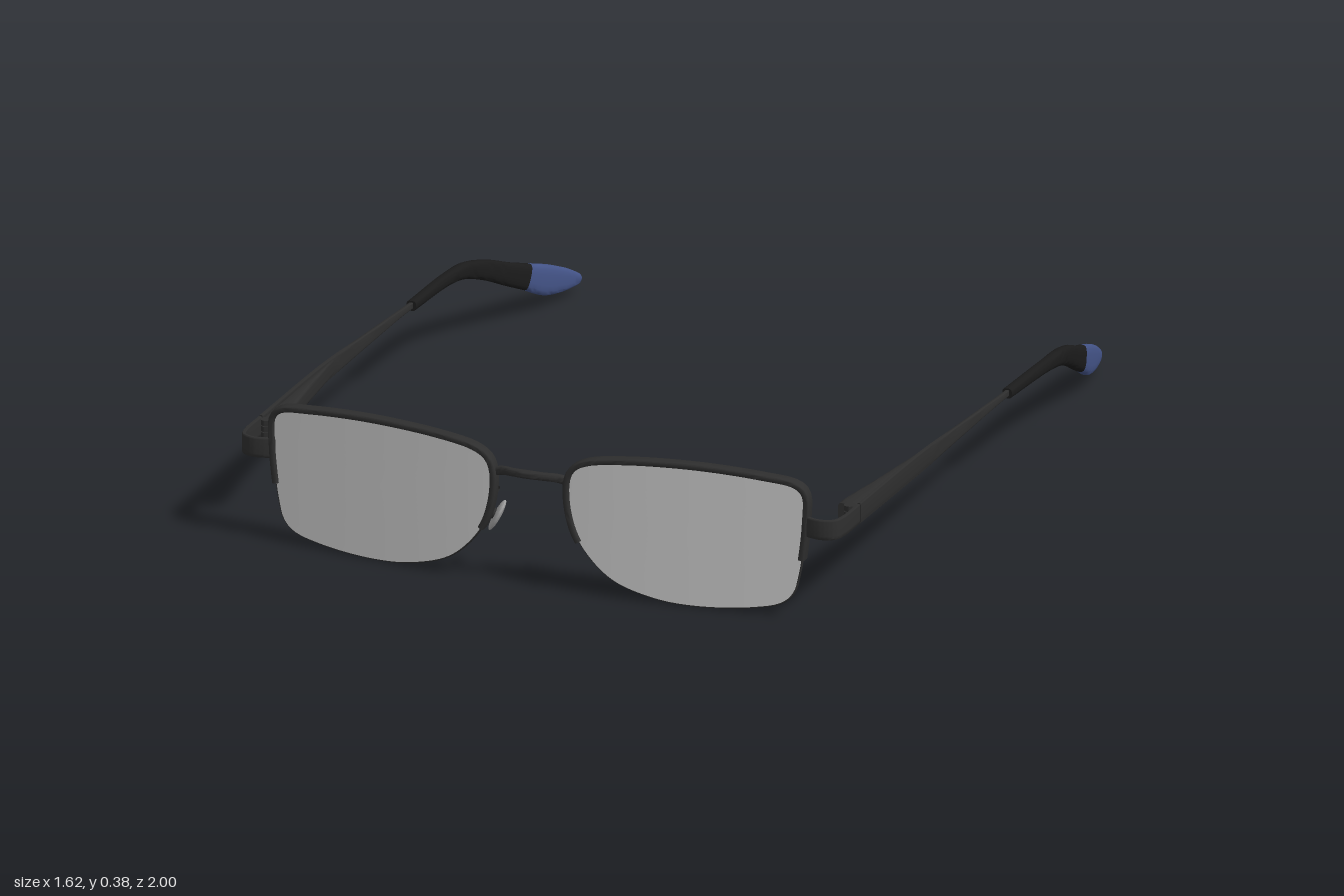
import * as THREE from 'three';
import { toCreasedNormals } from 'three/addons/utils/BufferGeometryUtils.js';

const V = (x, y, z) => new THREE.Vector3(x, y, z);
const material = (name, color) => {
  const m = new THREE.MeshStandardMaterial({ color });
  m.name = name;
  return m;
};

// Makes every triangle face outward, then smooths all but the sharp edges.
function finish(geometry, crease = 0.7) {
  const g = geometry.index ? geometry.toNonIndexed() : geometry;
  const p = g.attributes.position;
  const a = V(), b = V(), c = V();
  let volume = 0;
  for (let i = 0; i < p.count; i += 3) {
    a.fromBufferAttribute(p, i);
    b.fromBufferAttribute(p, i + 1);
    c.fromBufferAttribute(p, i + 2);
    volume += a.dot(b.cross(c));
  }
  if (volume < 0) {
    for (let i = 0; i < p.count; i += 3) {
      a.fromBufferAttribute(p, i);
      c.fromBufferAttribute(p, i + 2);
      p.setXYZ(i, c.x, c.y, c.z);
      p.setXYZ(i + 2, a.x, a.y, a.z);
    }
  }
  return toCreasedNormals(g, crease);
}

// Closed solid through a list of equal-length rings, capped at both ends.
function loft(rings) {
  const n = rings[0].length, pos = [], index = [];
  rings.flat().forEach((v) => pos.push(v.x, v.y, v.z));
  for (let r = 0; r < rings.length - 1; r++) {
    for (let i = 0; i < n; i++) {
      const a = r * n + i, b = r * n + (i + 1) % n;
      index.push(a, b, a + n, b, b + n, a + n);
    }
  }
  [0, rings.length - 1].forEach((r, end) => {
    const mid = rings[r].reduce((s, v) => s.add(v), V(0, 0, 0)).divideScalar(n);
    const m = pos.length / 3;
    pos.push(mid.x, mid.y, mid.z);
    for (let i = 0; i < n; i++) {
      const a = r * n + i, b = r * n + (i + 1) % n;
      index.push(m, end ? a : b, end ? b : a);
    }
  });
  const g = new THREE.BufferGeometry();
  g.setAttribute('position', new THREE.Float32BufferAttribute(pos, 3));
  g.setIndex(index);
  return g;
}

// Smoothly resamples rows of [x, y, z, half width, half height].
function sample(rows, steps) {
  const path = new THREE.CatmullRomCurve3(rows.map((r) => V(r[0], r[1], r[2]))).getPoints(steps);
  const size = new THREE.CatmullRomCurve3(rows.map((r, i) => V(r[3], r[4], i * 0.01))).getPoints(steps);
  return path.map((p, i) => [p.x, p.y, p.z, size[i].x, size[i].y]);
}

// Sweeps a section along rows; power 1 is an ellipse, lower is boxier.
function sweep(rows, power = 1, up = V(0, 1, 0), sides = 16) {
  const pts = rows.map((r) => V(r[0], r[1], r[2]));
  return loft(rows.map((r, k) => {
    const t = pts[Math.min(k + 1, pts.length - 1)].clone().sub(pts[Math.max(k - 1, 0)]).normalize();
    const side = up.clone().cross(t).normalize();
    const top = t.clone().cross(side);
    return Array.from({ length: sides }, (_, i) => {
      const a = ((i + 0.5) / sides) * Math.PI * 2;
      const f = (v) => Math.sign(v) * Math.abs(v) ** power;
      return pts[k].clone()
        .addScaledVector(side, r[3] * f(Math.cos(a)))
        .addScaledVector(top, r[4] * f(Math.sin(a)));
    });
  }));
}

export function createModel() {
  const group = new THREE.Group();
  group.name = 'glasses';
  const metal = material('dark metal', 0x2e2e2e);
  const sleeveBlack = material('black sleeve', 0x1b1b1b);
  const blue = material('blue tip', 0x445488);
  const glass = material('pale lens', 0xc6c6c6);
  const padGrey = material('nose pad grey', 0xa2a2a2);

  const add = (name, geometry, mat) => {
    const mesh = new THREE.Mesh(finish(geometry), mat);
    mesh.name = name;
    group.add(mesh);
  };
  const addPair = (name, geometry, mat) => {
    add('left' + name, geometry.clone(), mat);
    add('right' + name, geometry.clone().scale(-1, 1, 1), mat);
  };

  // Lens outline, from the inner lower edge over the top and round
  const outline = new THREE.CatmullRomCurve3([
    [0.13, 0.14], [0.102, 0.22], [0.1, 0.3], [0.115, 0.33], [0.15, 0.35], [0.25, 0.366],
    [0.43, 0.373], [0.6, 0.364], [0.69, 0.35], [0.712, 0.328], [0.713, 0.25], [0.705, 0.17],
    [0.695, 0.11], [0.682, 0.065], [0.655, 0.038], [0.58, 0.018], [0.43, 0.006],
    [0.32, 0.016], [0.21, 0.055],
  ].map(([x, y]) => V(x, y, 0)), true).getSpacedPoints(120).slice(0, 120);
  const lensZ = (x) => 0.966 - 0.06 * (Math.max(x - 0.1, 0) / 0.62) ** 1.5;

  // Curved lenses
  const scales = [0.02, 0.25, 0.5, 0.75, 0.9, 0.995];
  const lensRing = (s, dz) => outline.map((p) => {
    const x = 0.41 + (p.x - 0.41) * s;
    return V(x, 0.19 + (p.y - 0.19) * s, lensZ(x) + dz);
  });
  addPair('Lens', loft([
    ...scales.map((s) => lensRing(s, 0.006)),
    ...scales.slice().reverse().map((s) => lensRing(s, -0.006)),
  ]), glass);

  // Half rim over the top, thin wire below
  const split = outline.findIndex((p) => p.x > 0.6 && p.y < 0.165);
  const rimRow = (w, h) => (p) => [p.x, p.y, lensZ(p.x), w, h];
  addPair('Rim', sweep(outline.slice(0, split + 1).map(rimRow(0.008, 0.016)), 0.4, V(0, 0, 1)), metal);
  addPair('LowerWire', sweep([...outline.slice(split), outline[0]].map(rimRow(0.003, 0.004)), 1, V(0, 0, 1), 8), metal);

  // Bridge
  add('bridge', sweep(sample([
    [-0.105, 0.288, 0.96, 0.009, 0.011], [-0.075, 0.297, 0.967, 0.009, 0.011],
    [-0.04, 0.302, 0.982, 0.01, 0.01], [0, 0.304, 0.988, 0.012, 0.01],
    [0.04, 0.302, 0.982, 0.01, 0.01], [0.075, 0.297, 0.967, 0.009, 0.011],
    [0.105, 0.288, 0.96, 0.009, 0.011],
  ], 32), 0.7), metal);

  // End piece bending into the thin temple arm
  addPair('EndPiece', sweep(sample([
    [0.705, 0.246, 0.908, 0.006, 0.026], [0.735, 0.246, 0.922, 0.005, 0.026],
    [0.765, 0.246, 0.924, 0.005, 0.026], [0.79, 0.246, 0.91, 0.005, 0.026],
    [0.799, 0.246, 0.875, 0.005, 0.026], [0.8, 0.246, 0.785, 0.005, 0.026],
  ], 30), 0.3), metal);
  addPair('Arm', sweep(sample([
    [0.8, 0.246, 0.78, 0.005, 0.027], [0.8, 0.246, 0.4, 0.005, 0.027],
    [0.799, 0.242, 0.15, 0.005, 0.018], [0.798, 0.237, -0.1, 0.005, 0.009],
    [0.797, 0.234, -0.19, 0.005, 0.008],
  ], 24), 0.3), metal);

  // Wedge and hinge knuckles inside the arm
  addPair('HingeWedge', sweep(sample([
    [0.796, 0.246, 0.33, 0.002, 0.02], [0.79, 0.246, 0.45, 0.008, 0.021],
    [0.782, 0.246, 0.6, 0.016, 0.022], [0.772, 0.246, 0.75, 0.026, 0.022],
    [0.772, 0.246, 0.785, 0.026, 0.022],
  ], 20), 0.3), metal);
  for (const [i, y] of [0.23, 0.246, 0.262].entries()) {
    addPair('HingeKnuckle' + (i + 1), new THREE.CylinderGeometry(0.015, 0.015, 0.014, 20)
      .translate(0.78, y, 0.79), metal);
  }

  // Ear sleeve, its end in blue
  const sleeve = sample([
    [0.797, 0.234, -0.17, 0.013, 0.013], [0.798, 0.226, -0.4, 0.014, 0.016],
    [0.793, 0.214, -0.5, 0.015, 0.021], [0.777, 0.183, -0.6, 0.015, 0.026],
    [0.757, 0.14, -0.7, 0.015, 0.03], [0.742, 0.112, -0.77, 0.015, 0.034],
    [0.726, 0.079, -0.85, 0.015, 0.039], [0.709, 0.055, -0.93, 0.014, 0.03],
    [0.696, 0.041, -0.985, 0.012, 0.014], [0.692, 0.038, -0.998, 0.005, 0.005],
  ], 54);
  addPair('EarSleeve', sweep(sleeve.slice(0, 31), 0.65), sleeveBlack);
  addPair('EarTip', sweep(sleeve.slice(30), 0.65), blue);

  // Nose pads with mounts and bent wires
  const place = (g) => g.rotateY(-0.3).rotateZ(0.5).translate(0.115, 0.152, 0.905);
  addPair('NosePad', place(new THREE.SphereGeometry(1, 24, 16).scale(0.009, 0.046, 0.028)), padGrey);
  addPair('PadMount', place(new THREE.CylinderGeometry(0.014, 0.014, 0.01, 16)
    .rotateZ(Math.PI / 2).translate(0.012, 0, 0)), metal);
  addPair('PadWire', new THREE.TubeGeometry(new THREE.CatmullRomCurve3([
    V(0.108, 0.2, 0.955), V(0.106, 0.222, 0.935), V(0.112, 0.225, 0.905),
    V(0.128, 0.2, 0.89), V(0.134, 0.17, 0.895), V(0.126, 0.157, 0.905),
  ]), 30, 0.0045, 8), metal);

  return group;
}
